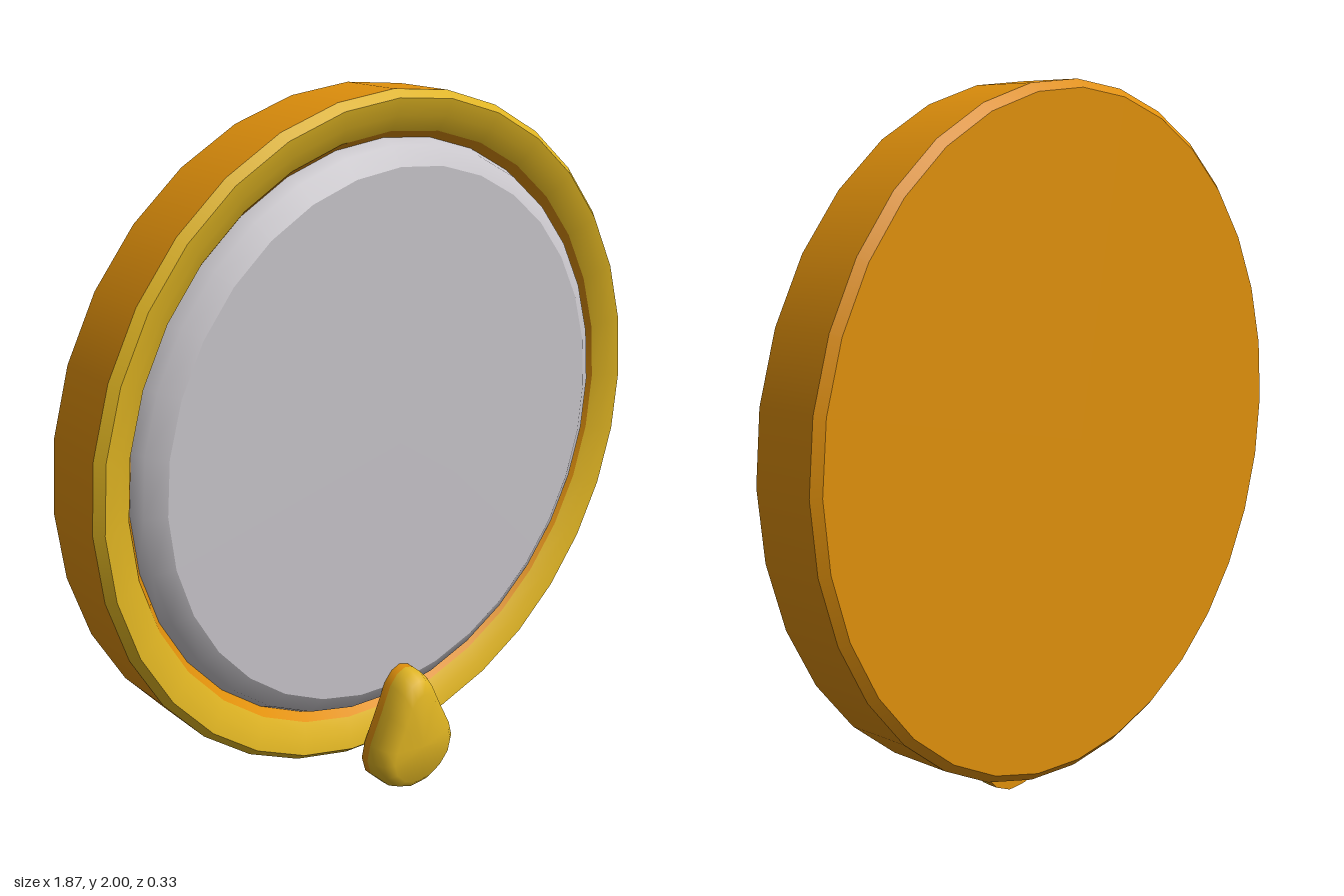
import * as THREE from 'three';
import { toCreasedNormals } from 'three/addons/utils/BufferGeometryUtils.js';

const mat = (name, color) => {
  const m = new THREE.MeshStandardMaterial({ color });
  m.name = name;
  return m;
};

export function createModel() {
  const gold = mat('gold', 0xdeb322);
  const orange = mat('amber', 0xe0900c);
  const silver = mat('silver', 0xc8c5ca);
  const model = new THREE.Group();
  const disc = new THREE.Group();
  disc.name = 'disc';
  disc.position.y = 1.065;
  model.add(disc);

  // One turned band of the disc, from [radius, z] points running back to front
  const band = (name, material, ...points) => {
    const g = new THREE.LatheGeometry(points.map(p => new THREE.Vector2(...p)), 32);
    g.rotateX(Math.PI / 2);
    const mesh = new THREE.Mesh(g, material);
    mesh.name = name;
    disc.add(mesh);
  };
  band('backPlate', orange, [0, -0.167], [0.913, -0.167]);
  band('backChamfer', orange, [0.913, -0.167], [0.935, -0.148]);
  band('outerWall', orange, [0.935, -0.148], [0.935, 0.033]);
  band('frontChamfer', gold, [0.935, 0.033], [0.915, 0.056]);
  band('rim', gold, [0.915, 0.056], [0.87, 0.046], [0.83, 0.022]);
  band('rimInnerEdge', orange, [0.83, 0.022], [0.805, -0.015]);
  band('lensBevel', silver, [0.812, -0.01], [0.795, 0.03], [0.745, 0.06]);
  band('lensFace', silver, [0.745, 0.06], [0, 0.061]);

  // Teardrop ornament: right half outline, mirrored, counter-clockwise from the bottom
  const half = [[0.035, 0.005], [0.09, 0.03], [0.132, 0.075], [0.145, 0.125],
    [0.133, 0.175], [0.09, 0.265], [0.057, 0.34], [0.03, 0.37]];
  const outline = [[0, 0.004], ...half, [0, 0.38], ...half.map(([x, y]) => [-x, y]).reverse()];

  // Stack scaled copies of the outline, each given as [scale, z]
  const loft = (name, material, layers) => {
    const n = outline.length, pos = [], index = [], cy = 0.15;
    for (const [s, z] of layers)
      for (const [x, y] of outline) pos.push(x * s, cy + (y - cy) * s, z);
    for (let k = 0; k < layers.length - 1; k++)
      for (let i = 0; i < n; i++) {
        const a = k * n + i, b = k * n + (i + 1) % n;
        index.push(a, b, b + n, a, b + n, a + n);
      }
    const g = new THREE.BufferGeometry();
    g.setAttribute('position', new THREE.Float32BufferAttribute(pos, 3));
    g.setIndex(index);
    const mesh = new THREE.Mesh(toCreasedNormals(g, 1.0), material);
    mesh.name = name;
    model.add(mesh);
  };
  loft('dropBack', orange, [[0.001, 0.06], [1, 0.06], [1, 0.085]]);
  loft('dropFront', gold, [[1, 0.085], [0.99, 0.115], [0.91, 0.145], [0.75, 0.165], [0.001, 0.167]]);

  return model;
}
